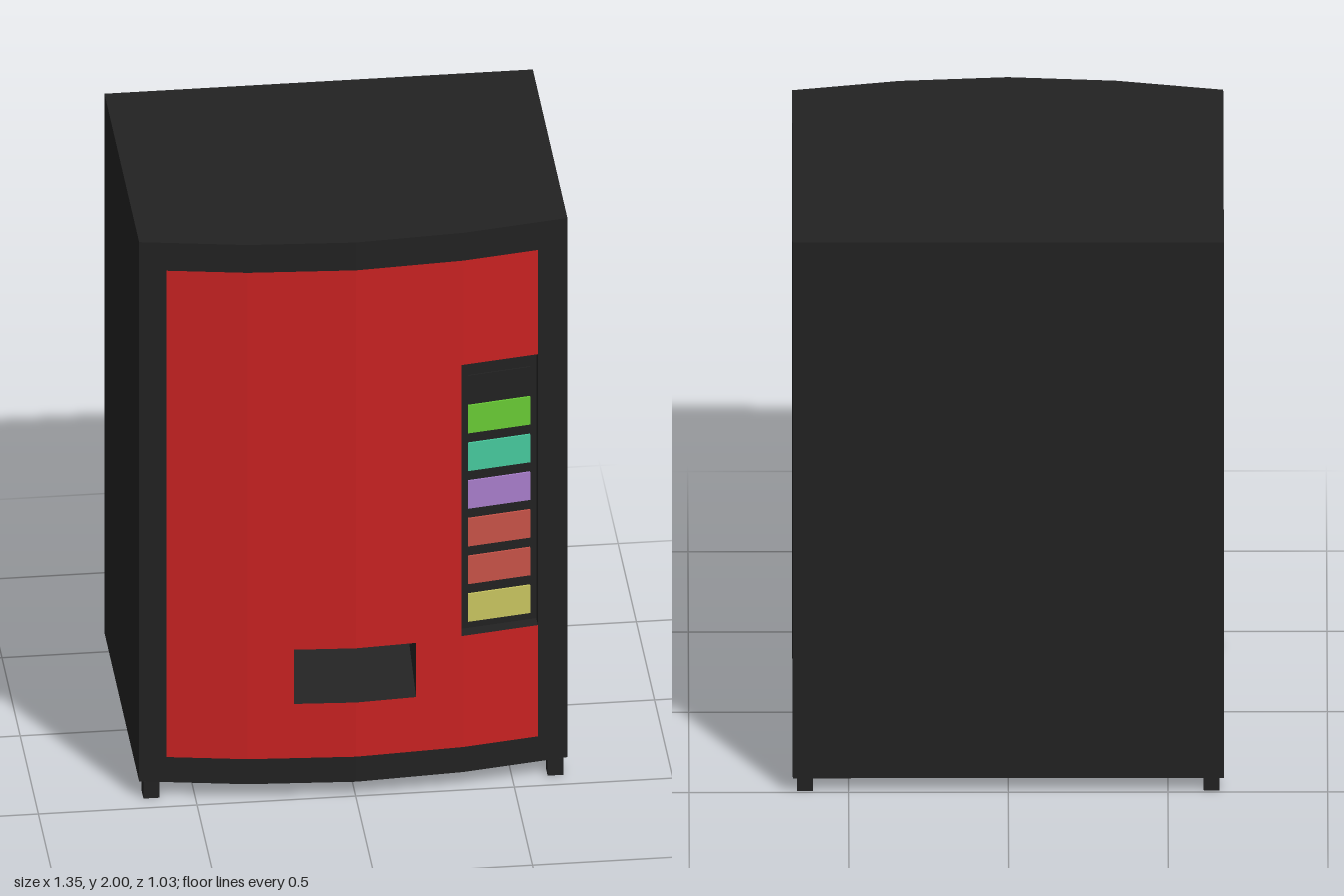
import * as THREE from 'three';

const mat = (name, color) => new THREE.MeshStandardMaterial({ name, color, side: THREE.DoubleSide });

// Plan of the bowed front: z for each x
const BOW = [[-0.675, 0.435], [-0.34, 0.492], [0, 0.515], [0.34, 0.492], [0.675, 0.435]];
const BACK = -0.515, BOTTOM = 0.06, TOP = 2;

function frontZ(x) {
  for (let i = 0; i < BOW.length - 1; i++) {
    const [x0, z0] = BOW[i], [x1, z1] = BOW[i + 1];
    if (x <= x1) return z0 + (z1 - z0) * (x - x0) / (x1 - x0);
  }
  return BOW[BOW.length - 1][1];
}

// Points along the bow at height y, set back by d
function bowLine(x0, x1, y, d = 0) {
  const inner = BOW.map(p => p[0]).filter(x => x > x0 + 0.001 && x < x1 - 0.001);
  return [x0, ...inner, x1].map(x => [x, y, frontZ(x) - d]);
}

// Flat-shaded strip between two rows of points (first row is the lower one)
function strip(a, b) {
  const pos = [];
  for (let i = 0; i < a.length - 1; i++) {
    pos.push(...a[i], ...a[i + 1], ...b[i + 1], ...a[i], ...b[i + 1], ...b[i]);
  }
  const g = new THREE.BufferGeometry();
  g.setAttribute('position', new THREE.Float32BufferAttribute(pos, 3));
  g.computeVertexNormals();
  return g;
}

const sheet = (x0, x1, y0, y1, d = 0) => strip(bowLine(x0, x1, y0, d), bowLine(x0, x1, y1, d));

export function createModel() {
  const root = new THREE.Group();
  root.name = 'vendingMachine';
  const black = mat('black', 0x222222);
  const red = mat('red', 0xca2222);

  const add = (name, geometry, material, parent = root) => {
    const m = new THREE.Mesh(geometry, material);
    m.name = name;
    parent.add(m);
    return m;
  };
  const group = name => {
    const g = new THREE.Group();
    g.name = name;
    root.add(g);
    return g;
  };

  // Cabinet: top, bottom, back and sides
  const cabinet = group('cabinet');
  const W = 0.675, H = TOP - BOTTOM, midY = (TOP + BOTTOM) / 2;
  const row = (y, z) => bowLine(-W, W, y).map(p => [p[0], y, z ?? p[2]]);
  add('top', strip(row(TOP), row(TOP, BACK)), black, cabinet);
  add('bottom', strip(row(BOTTOM, BACK), row(BOTTOM)), black, cabinet);
  const back = add('back', new THREE.PlaneGeometry(2 * W, H), black, cabinet);
  back.position.set(0, midY, BACK);
  back.rotation.y = Math.PI;
  for (const s of [-1, 1]) {
    const side = add(s > 0 ? 'leftSide' : 'rightSide', new THREE.PlaneGeometry(0.435 - BACK, H), black, cabinet);
    side.position.set(s * W, midY, (0.435 + BACK) / 2);
    side.rotation.y = s * Math.PI / 2;
  }

  // Border around the door panel
  const L = -0.59, R = 0.58, B = 0.15, T = 1.9;
  const frame = group('frontFrame');
  for (const r of [[-W, W, BOTTOM, B], [-W, W, T, TOP], [-W, L, B, T], [R, W, B, T]]) {
    add('frameStrip', sheet(...r), black, frame);
  }

  // Red panel, left open at the dispensing slot and the button recess
  const S = { x0: -0.195, x1: 0.19, y0: 0.345, y1: 0.54 };
  const N = { x0: 0.335, x1: R, y0: 0.55, y1: 1.525 };
  const panel = group('doorPanel');
  for (const r of [
    [L, S.x0, B, T], [S.x0, S.x1, B, S.y0], [S.x0, S.x1, S.y1, T],
    [S.x1, N.x0, B, T], [N.x0, N.x1, B, N.y0], [N.x0, N.x1, N.y1, T],
  ]) add('panelSection', sheet(...r), red, panel);

  // Button recess: back and four reveals
  const D = 0.045;
  const recess = group('buttonRecess');
  add('recessBack', sheet(N.x0, N.x1, N.y0, N.y1, D), black, recess);
  add('recessFloor', strip(bowLine(N.x0, N.x1, N.y0), bowLine(N.x0, N.x1, N.y0, D)), black, recess);
  add('recessCeiling', strip(bowLine(N.x0, N.x1, N.y1, D), bowLine(N.x0, N.x1, N.y1)), black, recess);
  const reveal = (x, d0, d1) => strip(
    [[x, N.y0, frontZ(x) - d0], [x, N.y0, frontZ(x) - d1]],
    [[x, N.y1, frontZ(x) - d0], [x, N.y1, frontZ(x) - d1]]);
  add('recessRightWall', reveal(N.x0, 0, D), black, recess);
  add('recessLeftWall', reveal(N.x1, D, 0), black, recess);

  // Thin plate following the bow, with edges
  const plate = (name, y0, y1, material, d, parent) => {
    const x0 = 0.36, x1 = 0.56;
    add(name, sheet(x0, x1, y0, y1, d), material, parent);
    add(name + 'TopEdge', strip(bowLine(x0, x1, y1, d), bowLine(x0, x1, y1, D)), material, parent);
    add(name + 'BottomEdge', strip(bowLine(x0, x1, y0, D), bowLine(x0, x1, y0, d)), material, parent);
  };

  // Selection buttons, lowest first
  const coral = mat('coral', 0xc85348);
  const colours = [mat('yellow', 0xc9c560), coral, coral,
    mat('purple', 0xa87ecb), mat('teal', 0x47ca9e), mat('green', 0x69cb35)];
  const buttons = group('selectionButtons');
  colours.forEach((m, i) => plate('button', 0.575 + i * 0.1356, 0.675 + i * 0.1356, m, D - 0.006, buttons));

  // Coin unit above the buttons
  const coin = group('coinUnit');
  plate('coinPlate', 1.385, 1.515, black, D - 0.004, coin);
  plate('coinSlot', 1.43, 1.462, black, D - 0.008, coin);

  // Dispensing slot: ramp sloping back and up, ceiling and cheeks
  const slot = group('dispensingSlot');
  const rampZ = 0.1;
  const deep = bowLine(S.x0, S.x1, S.y1).map(p => [p[0], S.y1, rampZ]);
  add('ramp', strip(bowLine(S.x0, S.x1, S.y0), deep), black, slot);
  add('slotCeiling', strip(deep, bowLine(S.x0, S.x1, S.y1)), black, slot);
  for (const x of [S.x0, S.x1]) {
    const z = frontZ(x), low = [x, S.y0, z];
    const upper = [[x, S.y1, z], [x, S.y1, rampZ]];
    add('slotCheek', x < 0 ? strip([low, low], upper) : strip([low, low], upper.reverse()), black, slot);
  }

  // Feet
  const feet = group('feet');
  const footGeo = new THREE.BoxGeometry(0.05, BOTTOM, 0.05);
  for (const x of [-0.637, 0.637]) for (const z of [-0.465, 0.415]) {
    add('foot', footGeo, black, feet).position.set(x, BOTTOM / 2, z);
  }
  return root;
}
